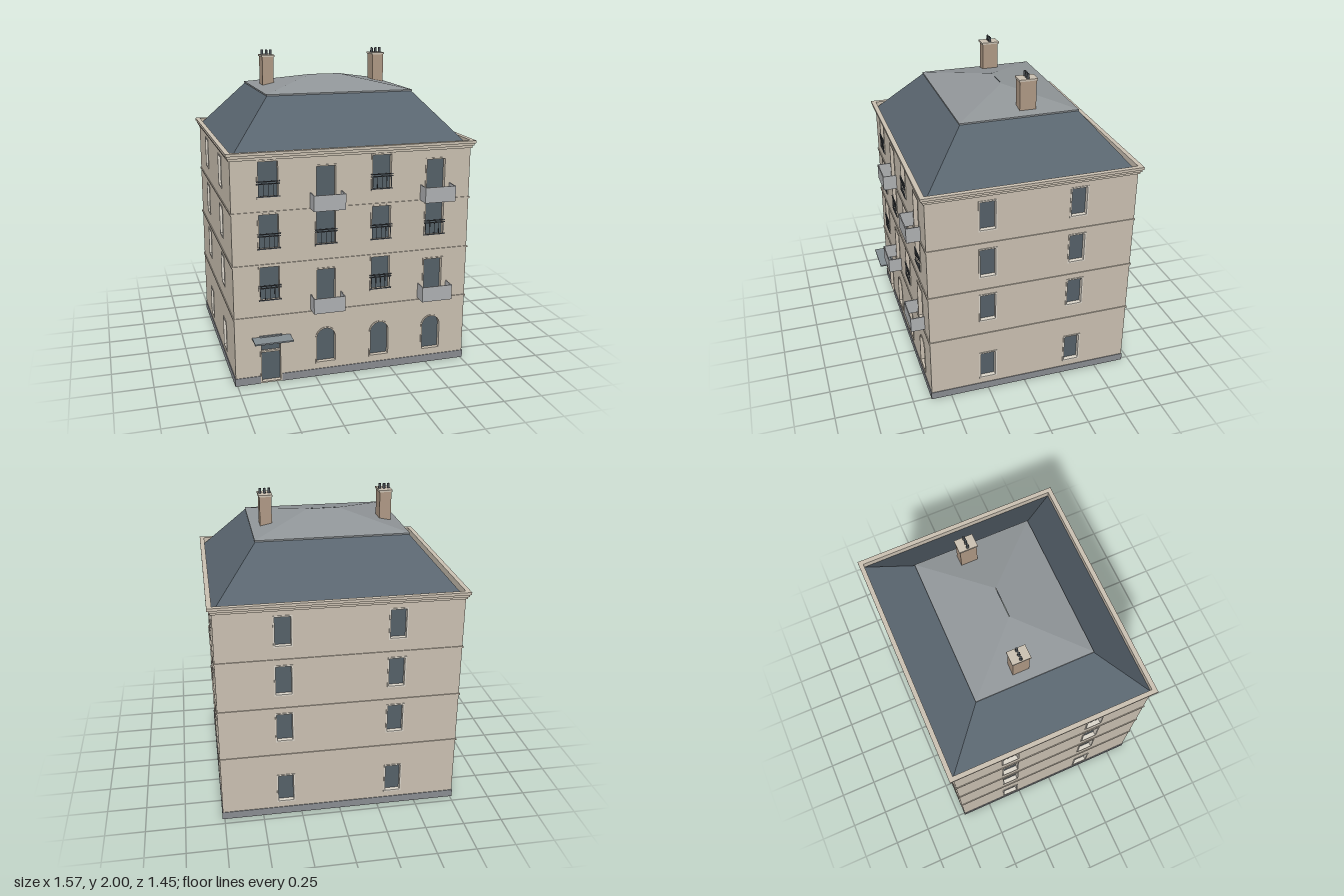
import * as THREE from 'three';

const mat = (name, color, side = THREE.FrontSide) => {
  const m = new THREE.MeshStandardMaterial({ color, side });
  m.name = name;
  return m;
};

export function createModel() {
  const D = THREE.DoubleSide;
  const stone = mat('stone', 0xcbc1b2, D);
  const trim = mat('windowTrim', 0xdcd6cb);
  const glass = mat('glass', 0x566169, D);
  const slate = mat('slate', 0x5a6670, D);
  const zinc = mat('zinc', 0x919699, D);
  const plinthGrey = mat('plinthGrey', 0x8a8d92);
  const brick = mat('brick', 0xb09a86);
  const metal = mat('darkMetal', 0x4c5156);
  const panel = mat('balconyPanel', 0xb0b2b4);
  const canopyMat = mat('canopyGrey', 0x848d92);

  const model = new THREE.Group();
  model.name = 'townHouse';
  const HX = 0.76, ZB = -0.7, ZF = 0.628, ZC = (ZB + ZF) / 2, HZ = (ZF - ZB) / 2;
  const TOP = 1.435;

  const add = (parent, name, geo, material, x = 0, y = 0, z = 0) => {
    const m = new THREE.Mesh(geo, material);
    m.name = name;
    m.position.set(x, y, z);
    parent.add(m);
    return m;
  };
  // box given by its lower and upper corners
  const box = (parent, name, material, x0, x1, y0, y1, z0, z1) =>
    add(parent, name, new THREE.BoxGeometry(x1 - x0, y1 - y0, z1 - z0), material,
      (x0 + x1) / 2, (y0 + y1) / 2, (z0 + z1) / 2);

  // outline of an opening, optionally with a round head
  const outline = (Type, { x, y0, y1, hw, arch }, inset = 0) => {
    const p = new Type(), r = hw - inset, b = y0 + inset;
    const t = arch ? y1 - hw : y1 - inset;
    p.moveTo(x - r, b);
    p.lineTo(x + r, b);
    p.lineTo(x + r, t);
    if (arch) p.absarc(x, t, r, 0, Math.PI, false);
    else p.lineTo(x - r, t);
    p.lineTo(x - r, b);
    return p;
  };

  // one wall facing +z in its own frame, with framed recessed openings
  const wall = (name, halfW, openings, frameMat) => {
    const g = new THREE.Group();
    g.name = name;
    const s = new THREE.Shape([[-halfW, 0], [halfW, 0], [halfW, TOP], [-halfW, TOP]]
      .map(([x, y]) => new THREE.Vector2(x, y)));
    for (const o of openings) {
      s.holes.push(outline(THREE.Path, o));
      const ring = outline(THREE.Shape, o);
      ring.holes.push(outline(THREE.Path, o, 0.009));
      add(g, 'windowFrame', new THREE.ExtrudeGeometry(ring,
        { depth: 0.034, bevelEnabled: false, curveSegments: 12 }), frameMat, 0, 0, -0.03);
      add(g, 'windowPane', new THREE.ShapeGeometry(outline(THREE.Shape, o, 0.008)), glass, 0, 0, -0.024);
    }
    add(g, 'wallFace', new THREE.ShapeGeometry(s), stone);
    for (const y of [0.443, 0.777, 1.106])
      box(g, 'stringCourse', stone, -halfW - 0.006, halfW + 0.006, y - 0.005, y + 0.005, 0, 0.006);
    model.add(g);
    return g;
  };

  // front openings: French windows, balcony windows, arches and door
  const cols = [-0.535, -0.18, 0.175, 0.53];
  const frontOpenings = [], railed = [], balconies = [];
  cols.forEach((x, i) => {
    const hw = 0.069;
    [0.54, 0.868, 1.19].forEach((y, row) => {
      if (i % 2 && row !== 1) {
        const b = row ? 1.115 : 0.452;
        frontOpenings.push({ x, y0: b, y1: row ? 1.375 : 0.725, hw });
        balconies.push([x, row ? 1.11 : 0.46]);
      } else {
        frontOpenings.push({ x, y0: y, y1: y + 0.232, hw });
        railed.push([x, y]);
      }
    });
    frontOpenings.push(i ? { x, y0: 0.088, y1: 0.33, hw, arch: true } : { x, y0: 0.002, y1: 0.275, hw });
  });
  const front = wall('frontWall', HX, frontOpenings, stone);
  front.position.z = ZF;

  // plain windows on the other sides
  const grid = d => [-d, d].flatMap(x =>
    [[0.09, 0.295], [0.54, 0.742], [0.864, 1.07], [1.19, 1.393]].map(([y0, y1]) => ({ x, y0, y1, hw: 0.058 })));
  const back = wall('backWall', HX, grid(0.35), trim);
  back.position.z = ZB;
  back.rotation.y = Math.PI;
  const sides = [1, -1].map(s => {
    const g = wall(s > 0 ? 'rightWall' : 'leftWall', HZ, grid(0.2875), trim);
    g.position.set(s * HX, 0, ZC);
    g.rotation.y = s * Math.PI / 2;
    return g;
  });

  // plinth, broken by the door
  box(front, 'plinth', plinthGrey, -HX - 0.004, -0.604, 0, 0.05, 0, 0.004);
  box(front, 'plinth', plinthGrey, -0.466, HX + 0.004, 0, 0.05, 0, 0.004);
  box(back, 'plinth', plinthGrey, -HX - 0.004, HX + 0.004, 0, 0.05, 0, 0.004);
  for (const g of sides) box(g, 'plinth', plinthGrey, -HZ, HZ, 0, 0.05, 0, 0.004);

  // door transom and canopy
  box(front, 'doorTransom', stone, -0.597, -0.473, 0.202, 0.213, -0.024, -0.008);
  box(front, 'canopy', canopyMat, -0.652, -0.412, 0.302, 0.311, 0, 0.1);
  box(front, 'canopyFixing', canopyMat, -0.605, -0.465, 0.311, 0.319, 0, 0.01);

  // window railings
  for (const [x, y] of railed) {
    for (const h of [0.012, 0.09, 0.104])
      box(front, 'railing', metal, x - 0.071, x + 0.071, y + h - 0.003, y + h + 0.003, 0.004, 0.01);
    for (let k = -2; k <= 2; k++)
      box(front, 'railingBar', metal, x + k * 0.03 - 0.0015, x + k * 0.03 + 0.0015, y + 0.012, y + 0.09, 0.005, 0.009);
  }

  // balcony parapets
  for (const [x, y] of balconies) {
    box(front, 'balconyFront', panel, x - 0.1, x + 0.1, y, y + 0.098, 0.082, 0.088);
    for (const s of [-1, 1])
      box(front, 'balconySide', panel, x + s * 0.097 - 0.003, x + s * 0.097 + 0.003, y, y + 0.098, 0, 0.082);
  }

  // stepped cornice as rectangular rings
  const rect = (Type, e) => new Type([[-HX - e, ZB - e], [HX + e, ZB - e], [HX + e, ZF + e], [-HX - e, ZF + e]]
    .map(([x, z]) => new THREE.Vector2(x, -z)));
  for (const [e, y0, y1] of [[0.009, 1.425, 1.44], [0.017, 1.44, 1.456], [0.026, 1.456, 1.473]]) {
    const s = rect(THREE.Shape, e);
    s.holes.push(rect(THREE.Path, -0.004));
    const geo = new THREE.ExtrudeGeometry(s, { depth: y1 - y0, bevelEnabled: false });
    geo.rotateX(-Math.PI / 2);
    add(model, 'cornice', geo, stone, 0, y0, 0);
  }

  // sloping roof between rectangular sections [halfX, zBack, zFront, y]
  const hip = (name, sections, material) => {
    const pos = [];
    const ring = ([hx, zb, zf, y]) => [[-hx, y, zf], [hx, y, zf], [hx, y, zb], [-hx, y, zb]];
    for (let i = 0; i + 1 < sections.length; i++) {
      const a = ring(sections[i]), b = ring(sections[i + 1]);
      for (let k = 0; k < 4; k++) {
        const n = (k + 1) % 4;
        pos.push(...a[k], ...a[n], ...b[n], ...a[k], ...b[n], ...b[k]);
      }
    }
    const geo = new THREE.BufferGeometry();
    geo.setAttribute('position', new THREE.Float32BufferAttribute(pos, 3));
    geo.computeVertexNormals();
    add(model, name, geo, material);
  };
  hip('mansardRoof', [[0.757, -0.698, 0.625, 1.43], [0.468, -0.41, 0.33, 1.757]], slate);
  hip('upperRoof', [[0.468, -0.41, 0.33, 1.754], [0.474, -0.416, 0.336, 1.754],
    [0.474, -0.416, 0.336, 1.763], [0.1, -0.041, -0.039, 1.84]], zinc);

  // chimneys with caps and pots
  for (const s of [-1, 1]) {
    const g = new THREE.Group();
    g.name = 'chimney';
    g.position.set(s * 0.379, 0, -0.107);
    box(g, 'chimneyStack', brick, -0.037, 0.037, 1.765, 1.957, -0.052, 0.052);
    box(g, 'chimneyCap', stone, -0.043, 0.043, 1.957, 1.969, -0.058, 0.058);
    for (const k of [-1, 0, 1])
      add(g, 'chimneyPot', new THREE.CylinderGeometry(0.008, 0.009, 0.031, 10), metal, k * 0.028, 1.9845, 0);
    model.add(g);
  }
  return model;
}
